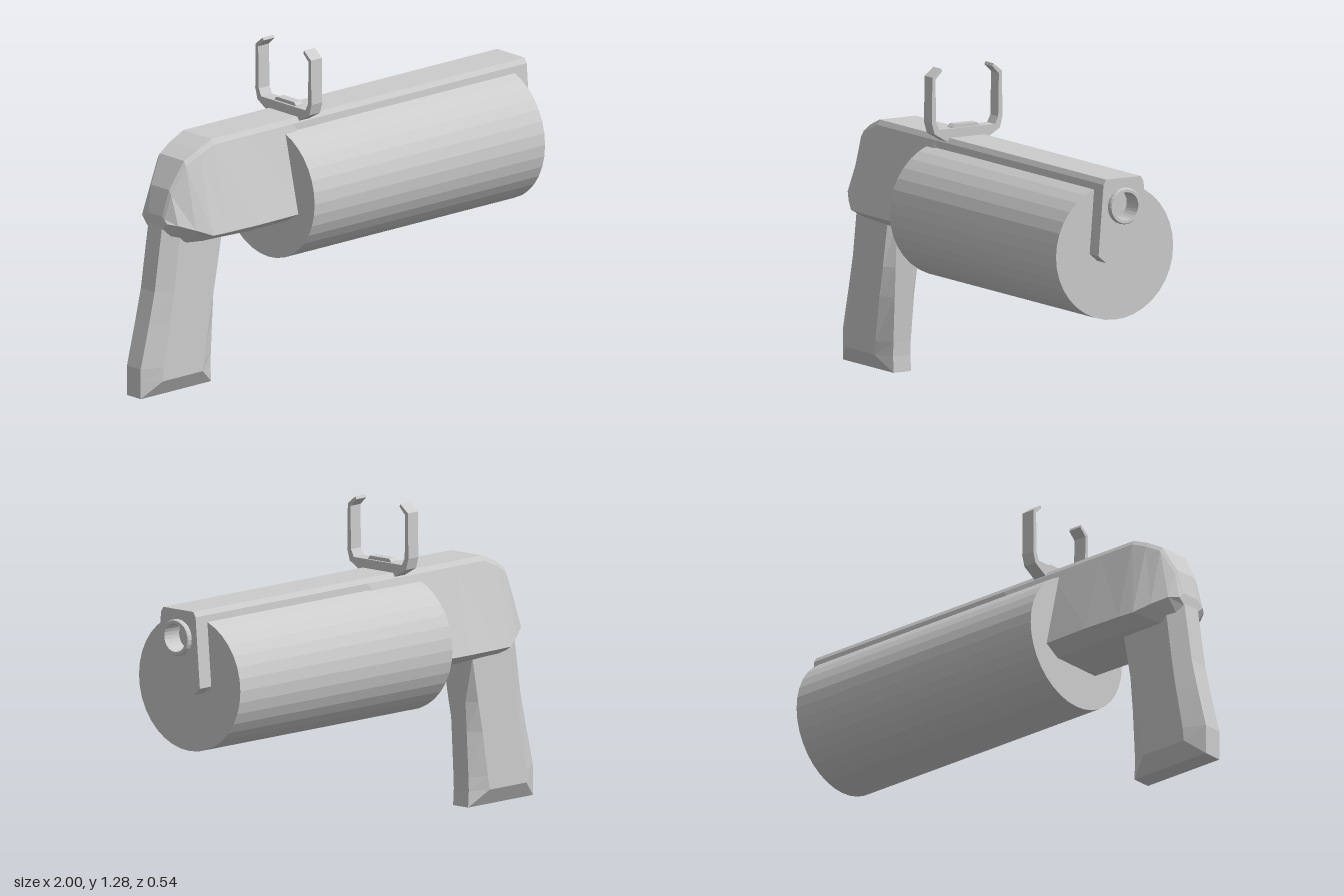
import * as THREE from 'three';

const material = new THREE.MeshStandardMaterial({ color: 0xcccccc, flatShading: true, side: THREE.DoubleSide });

function addMesh(group, name, geometry) {
  const mesh = new THREE.Mesh(geometry, material);
  mesh.name = name;
  group.add(mesh);
  return mesh;
}

// Skins a row of equal-length point rings (counter-clockwise about the direction of travel) and caps both ends.
function loft(rings) {
  const pos = [];
  const tri = (a, b, c) => pos.push(...a, ...b, ...c);
  const n = rings[0].length;
  for (let i = 0; i < rings.length - 1; i++) {
    for (let j = 0; j < n; j++) {
      const k = (j + 1) % n;
      const [a, b, c, d] = [rings[i][j], rings[i][k], rings[i + 1][k], rings[i + 1][j]];
      tri(a, b, c);
      tri(a, c, d);
    }
  }
  const first = rings[0], last = rings[rings.length - 1];
  for (let j = 1; j < n - 1; j++) {
    tri(first[0], first[j + 1], first[j]);
    tri(last[0], last[j], last[j + 1]);
  }
  const g = new THREE.BufferGeometry();
  g.setAttribute('position', new THREE.Float32BufferAttribute(pos, 3));
  g.computeVertexNormals();
  return g;
}

// Mirrors a half outline of [z, y] points across z = 0.
const mirrored = (half) => [...half, ...half.map(([z, y]) => [-z, y]).reverse()];

// Extrudes a z-y outline along x, with an optional hole.
function extrudeX(outline, x0, x1, hole) {
  const shape = new THREE.Shape(outline.map(([z, y]) => new THREE.Vector2(z, y)));
  if (hole) shape.holes.push(hole);
  return new THREE.ExtrudeGeometry(shape, { depth: x1 - x0, bevelEnabled: false, curveSegments: 24 })
    .rotateY(Math.PI / 2).translate(x0, 0, 0);
}

// Body half outline from the top down: top edge, shoulder, widest line, bottom edge.
const bodyHalf = (top, topW, drop, wideY, wideW, bottomY, bottomW) =>
  [[topW, top], [topW + 0.012, top - drop], [wideW, wideY], [bottomW, bottomY]];

export function createModel() {
  const model = new THREE.Group();
  model.name = 'model';

  // Body, lofted from the rounded back to the slim front
  const stations = [
    [-0.888, 0.72, 0.04, 0.01, 0.695, 0.07, 0.67, 0.04],
    [-0.862, 0.825, 0.052, 0.02, 0.69, 0.105, 0.64, 0.06],
    [-0.8, 0.935, 0.07, 0.02, 0.667, 0.14, 0.607, 0.085],
    [-0.735, 0.97, 0.08, 0.02, 0.64, 0.17, 0.605, 0.105],
    [-0.665, 1.0, 0.082, 0.02, 0.64, 0.175, 0.605, 0.11],
    [-0.5, 1.0, 0.082, 0.02, 0.64, 0.18, 0.6, 0.115],
    [-0.25, 1.0, 0.082, 0.02, 0.64, 0.175, 0.6, 0.11],
    [0, 1.0, 0.08, 0.02, 0.7, 0.115, 0.67, 0.08],
    [0.8, 1.0, 0.08, 0.02, 0.7, 0.115, 0.67, 0.08],
  ];
  addMesh(model, 'body', loft(stations.map(([x, ...s]) =>
    mirrored(bodyHalf(...s)).map(([z, y]) => [x, y, z]))));

  // Front block with the bore
  const bore = new THREE.Path().absarc(0, 0.89, 0.056, 0, Math.PI * 2, true);
  addMesh(model, 'frontBlock',
    extrudeX(mirrored(bodyHalf(1.0, 0.08, 0.02, 0.7, 0.115, 0.67, 0.08)), 0.8, 0.98, bore));

  // Raised ring around the bore
  const ringProfile = [[0.056, 0.95], [0.072, 0.95], [0.072, 0.993], [0.068, 1.0], [0.056, 1.0], [0.056, 0.95]]
    .map(([r, x]) => new THREE.Vector2(r, x));
  addMesh(model, 'boreRing',
    new THREE.LatheGeometry(ringProfile, 24).rotateZ(-Math.PI / 2).translate(0, 0.89, 0));

  // Large drum under the body
  addMesh(model, 'drum',
    new THREE.CylinderGeometry(0.27, 0.27, 1.21, 36).rotateZ(-Math.PI / 2).translate(0.31, 0.7, 0));

  // Grip, chamfered along its corners: y, back, back chamfer, front chamfer, front, chamfered and full half widths
  const gripRings = [
    [0, -1, -1, -0.63, -0.63, 0.04, 0.04],
    [0.065, -1, -0.92, -0.71, -0.634, 0.04, 0.08],
    [0.12, -1, -0.915, -0.7, -0.632, 0.04, 0.08],
    [0.3, -0.955, -0.88, -0.67, -0.622, 0.04, 0.08],
    [0.42, -0.927, -0.86, -0.645, -0.615, 0.04, 0.08],
    [0.6, -0.9, -0.835, -0.612, -0.605, 0.04, 0.08],
    [0.69, -0.886, -0.82, -0.608, -0.603, 0.04, 0.08],
  ].map(([y, b, bc, fc, f, n, w]) => [
    [b, y, n], [bc, y, w], [fc, y, w], [f, y, n],
    [f, y, -n], [fc, y, -w], [bc, y, -w], [b, y, -n],
  ]);
  addMesh(model, 'grip', loft(gripRings));

  // Open two-armed clip on top
  const clipHalf = [
    [0.09, 0.985], [0.15, 1.02], [0.163, 1.065], [0.16, 1.245], [0.12, 1.277],
    [0.115, 1.266], [0.146, 1.236], [0.143, 1.065], [0.128, 1.036],
  ];
  addMesh(model, 'clip', extrudeX(mirrored(clipHalf), -0.215, -0.158));

  // Small plate holding the clip
  addMesh(model, 'clipPlate', extrudeX(mirrored([[0.062, 1.03], [0.062, 1.038], [0.05, 1.05]]), -0.205, -0.168));

  return model;
}
